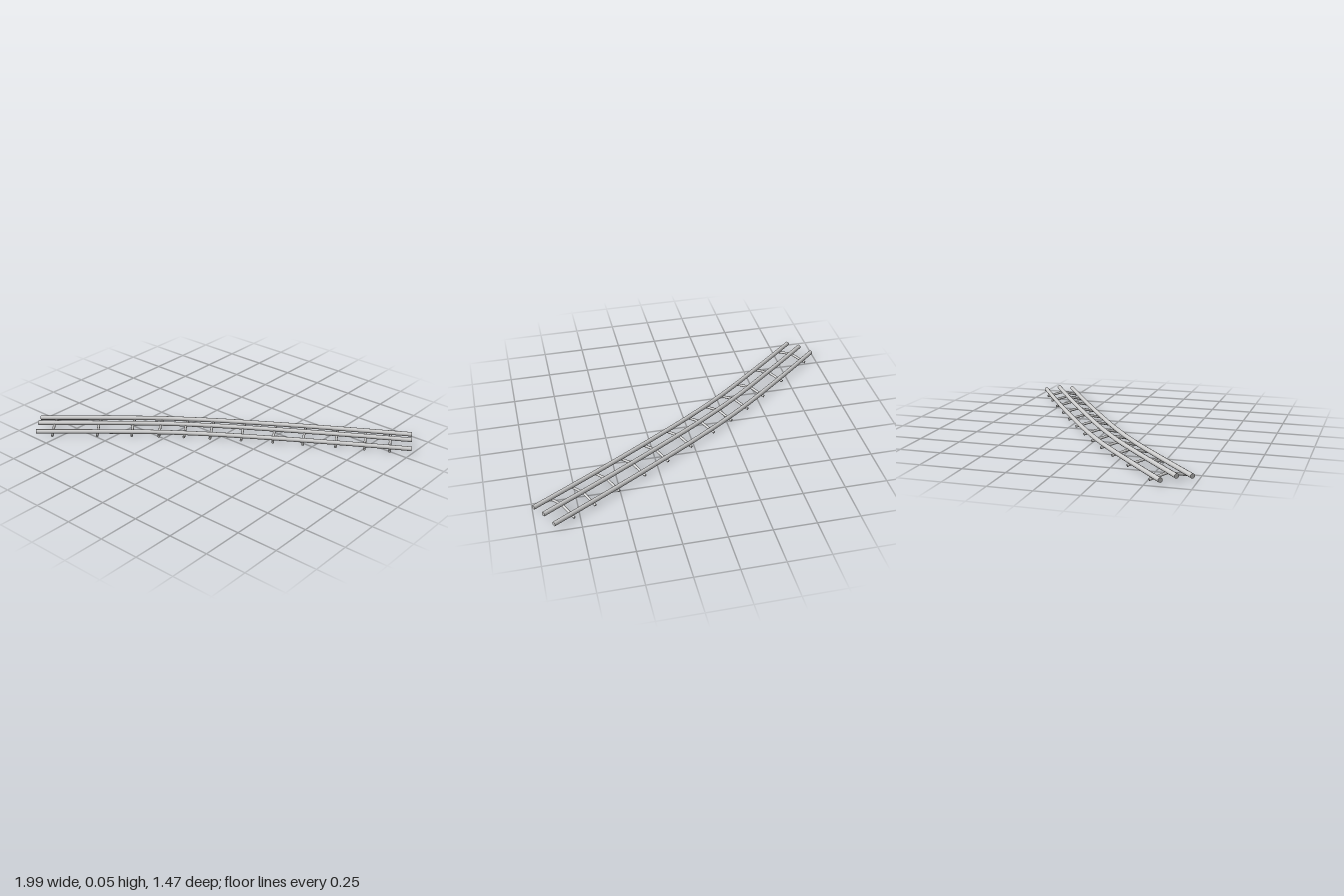
import * as THREE from 'three';

const RAIL_RADIUS = 0.0135, GAUGE = 0.092, TIE_RADIUS = 0.008;
const material = new THREE.MeshStandardMaterial({ color: 0xcccccc });

// Centre line of the track on the ground plane
const centreLine = new THREE.CatmullRomCurve3([
  [-0.925, 0.655], [-0.64, 0.414], [-0.345, 0.174], [-0.086, -0.011],
  [0.238, -0.219], [0.561, -0.417], [0.947, -0.645],
].map(([x, z]) => new THREE.Vector3(x, 0, z)));

// Point beside the centre line at sideways offset d and height y
function beside(t, d, y) {
  const tan = centreLine.getTangent(t);
  return centreLine.getPoint(t).add(new THREE.Vector3(-tan.z * d, y, tan.x * d));
}

// Curve parameter where the centre line crosses a given x
function paramAtX(x) {
  let lo = 0, hi = 1;
  for (let i = 0; i < 30; i++) {
    const mid = (lo + hi) / 2;
    if (centreLine.getPoint(mid).x < x) lo = mid; else hi = mid;
  }
  return lo;
}

// Round rail with closed ends
function rail(name, offset, y) {
  const group = new THREE.Group();
  group.name = name;
  const points = Array.from({ length: 25 }, (_, i) => beside(i / 24, offset, y));
  const path = new THREE.CatmullRomCurve3(points);
  group.add(new THREE.Mesh(new THREE.TubeGeometry(path, 48, RAIL_RADIUS, 12), material));
  for (const [t, dir] of [[0, -1], [1, 1]]) {
    const cap = new THREE.Mesh(new THREE.CircleGeometry(RAIL_RADIUS, 12), material);
    cap.position.copy(path.getPoint(t));
    cap.lookAt(cap.position.clone().addScaledVector(path.getTangent(t), dir));
    group.add(cap);
  }
  group.children.forEach((m) => { m.name = name; });
  return group;
}

// Straight rod between two points
function rod(a, b) {
  const mesh = new THREE.Mesh(
    new THREE.CylinderGeometry(TIE_RADIUS, TIE_RADIUS, a.distanceTo(b), 10), material);
  mesh.position.copy(a).add(b).multiplyScalar(0.5);
  mesh.quaternion.setFromUnitVectors(new THREE.Vector3(0, 1, 0), b.clone().sub(a).normalize());
  mesh.name = 'tieRod';
  return mesh;
}

export function createModel() {
  const model = new THREE.Group();
  model.name = 'curvedTrack';

  // Two running rails and the raised centre rail
  model.add(rail('backRail', -GAUGE, 0.03));
  model.add(rail('centreRail', 0, 0.041));
  model.add(rail('frontRail', GAUGE, 0.03));

  // Cross ties, each bent upwards to meet the centre rail
  const tieX = [-0.85, -0.64, -0.478, -0.345, -0.219, -0.086,
    0.075, 0.238, 0.393, 0.561, 0.709, 0.837];
  for (const x of tieX) {
    const t = paramAtX(x);
    const tie = new THREE.Group();
    tie.name = 'crossTie';
    for (const side of [-1, 1]) {
      tie.add(rod(beside(t, side * 0.108, 0.008), beside(t, 0, 0.033)));
    }
    model.add(tie);
  }
  return model;
}
